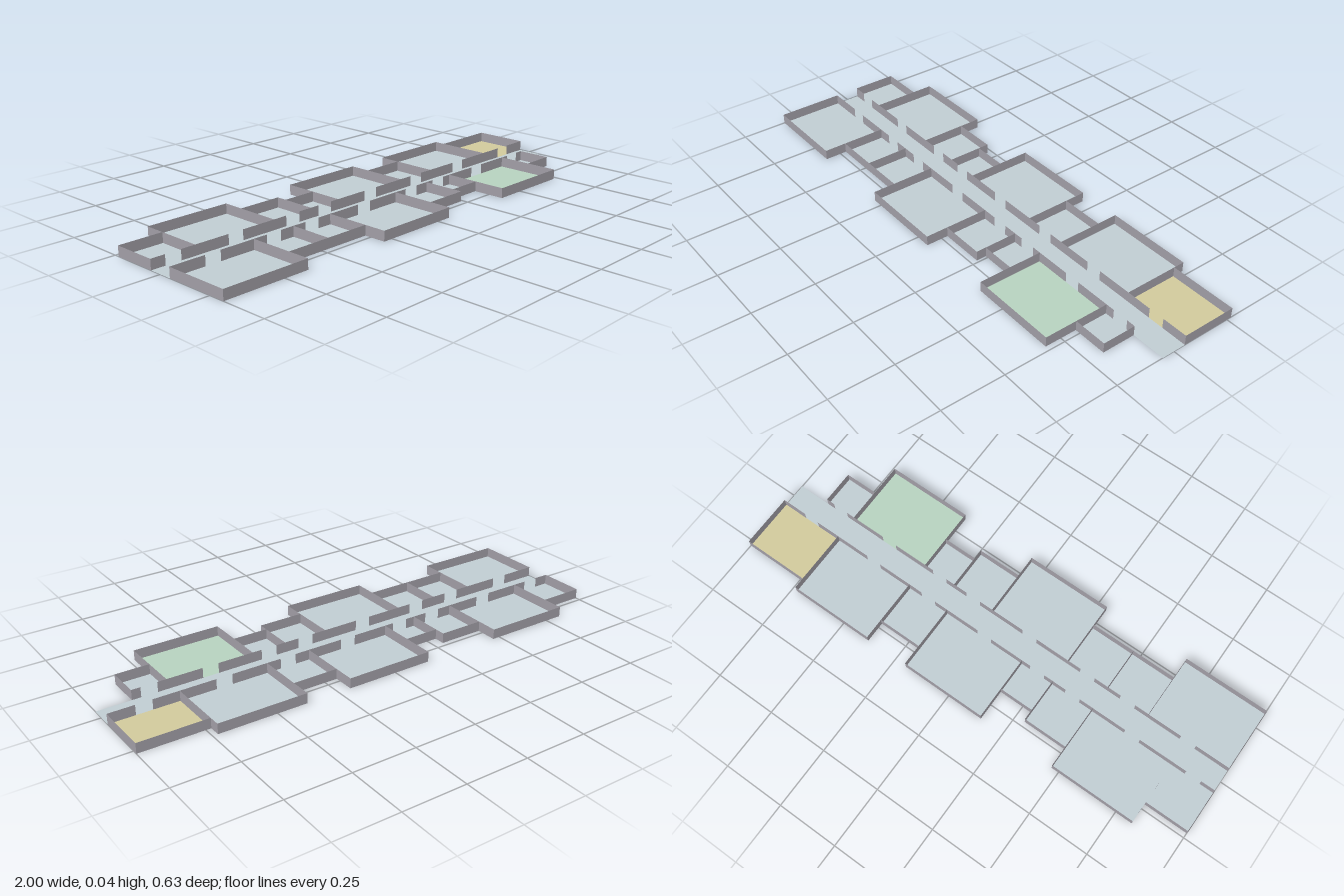
import * as THREE from 'three';

const WALL_HEIGHT = 0.04, HALL = 0.05, HALF_DOOR = 0.032;

const material = (name, color) => {
  const m = new THREE.MeshStandardMaterial({ color, side: THREE.DoubleSide });
  m.name = name;
  return m;
};

export function createModel() {
  const floorBlue = material('pale blue floor', 0xc0ccd2);
  const floorYellow = material('pale yellow floor', 0xd0c99c);
  const floorGreen = material('pale green floor', 0xb6d2be);
  const wallGrey = material('grey wall', 0xa09da5);

  const model = new THREE.Group();
  model.name = 'floorPlan';

  // flat floor sheet between two corners
  const addFloor = (parent, name, x0, x1, z0, z1, mat) => {
    const geo = new THREE.PlaneGeometry(x1 - x0, Math.abs(z1 - z0)).rotateX(-Math.PI / 2);
    const mesh = new THREE.Mesh(geo, mat);
    mesh.name = name;
    mesh.position.set((x0 + x1) / 2, 0, (z0 + z1) / 2);
    parent.add(mesh);
  };

  // upright sheet along a line from (x0, z0) to (x1, z1)
  const addWall = (parent, name, x0, z0, x1, z1) => {
    const dx = x1 - x0, dz = z1 - z0;
    const mesh = new THREE.Mesh(new THREE.PlaneGeometry(Math.hypot(dx, dz), WALL_HEIGHT), wallGrey);
    mesh.name = name;
    mesh.position.set((x0 + x1) / 2, WALL_HEIGHT / 2, (z0 + z1) / 2);
    mesh.rotation.y = Math.atan2(-dz, dx);
    parent.add(mesh);
  };

  // one side of the corridor; rooms are [right end x, outer depth, floor]
  const addRow = (name, side, rooms) => {
    const row = new THREE.Group();
    row.name = name;
    let x0 = -1, previousDepth = HALL;
    for (const [x1, depth, mat = floorBlue] of rooms) {
      const inner = side * HALL, outer = side * depth, mid = (x0 + x1) / 2;
      const room = new THREE.Group();
      room.name = 'room';
      addFloor(room, 'roomFloor', x0, x1, inner, outer, mat);
      // outer wall, and the corridor wall with its doorway
      addWall(room, 'outerWall', x0, outer, x1, outer);
      addWall(room, 'doorWall', x0, inner, mid - HALF_DOOR, inner);
      addWall(room, 'doorWall', mid + HALF_DOOR, inner, x1, inner);
      // wall shared with the room before it
      addWall(room, 'partition', x0, inner, x0, side * Math.max(depth, previousDepth));
      row.add(room);
      x0 = x1;
      previousDepth = depth;
    }
    addWall(row, 'endWall', x0, side * HALL, x0, side * previousDepth);
    model.add(row);
  };

  // open-ended corridor
  addFloor(model, 'corridorFloor', -1, 1, -HALL, HALL, floorBlue);

  addRow('backRooms', -1, [
    [-0.82, 0.23], [-0.47, 0.315], [-0.29, 0.23], [-0.15, 0.187],
    [0.2, 0.315], [0.38, 0.23], [0.73, 0.315], [1, 0.27, floorYellow],
  ]);
  addRow('frontRooms', 1, [
    [-0.65, 0.315], [-0.47, 0.225], [-0.29, 0.225], [0.06, 0.315],
    [0.24, 0.225], [0.38, 0.185], [0.73, 0.315, floorGreen], [0.865, 0.185],
  ]);

  return model;
}
